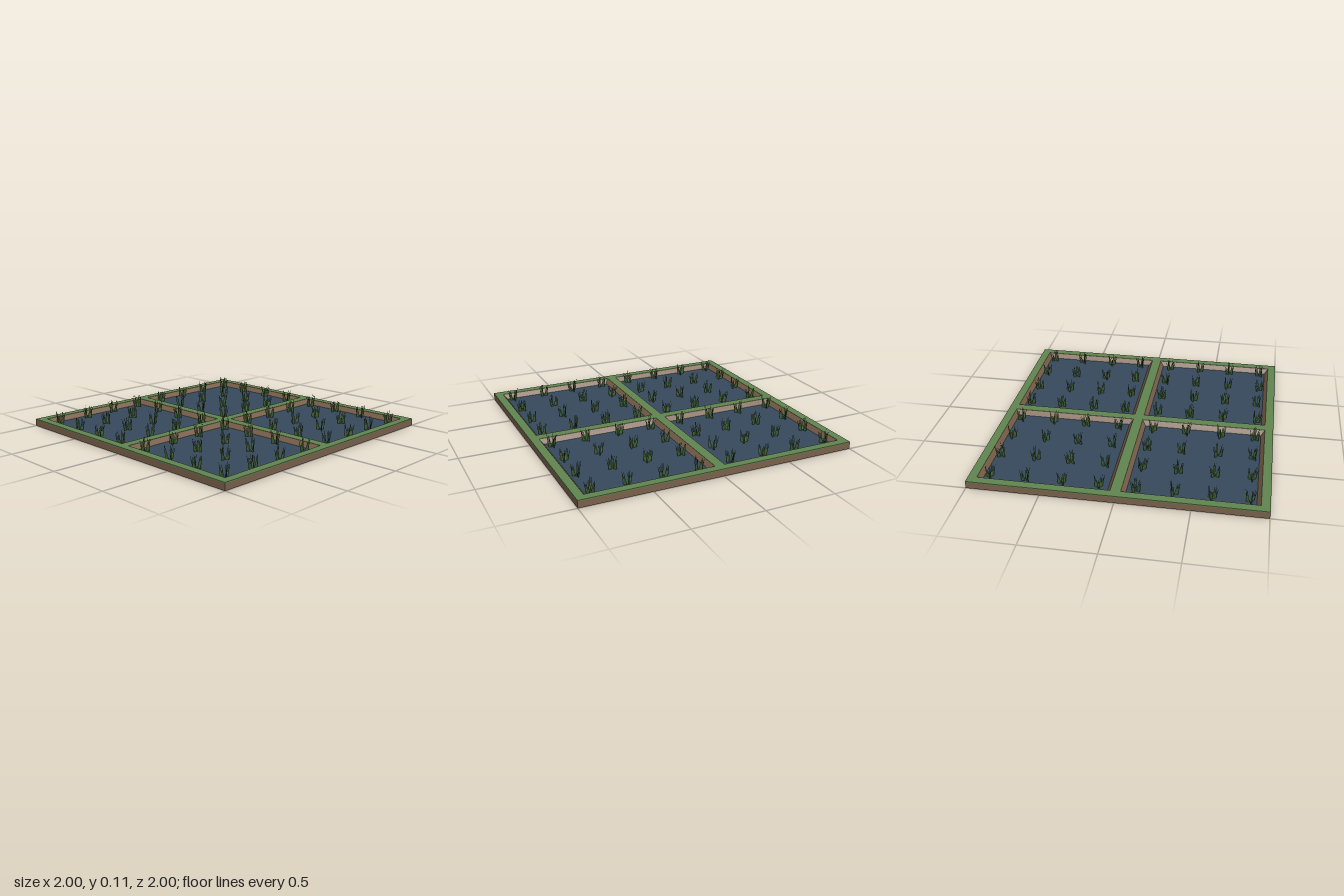
import * as THREE from 'three';
import { mergeGeometries } from 'three/addons/utils/BufferGeometryUtils.js';

const HEIGHT = 0.053, GRASS = 0.046, WATER = 0.018;
const POOL = 0.4875, RIM = 0.4525, BED = 0.426; // pool centre, half width at the rim and at the water

const mat = (name, color, extra = {}) => {
  const m = new THREE.MeshStandardMaterial({ color, ...extra });
  m.name = name;
  return m;
};

// Small seeded random generator
function seeded(seed) {
  let s = seed;
  return () => (s = (s * 16807) % 2147483647) / 2147483647;
}

// Square slab with four square openings, from y0 to y1
function lattice(y0, y1) {
  const square = (path, x, y, h) => path.moveTo(x - h, y - h).lineTo(x + h, y - h)
    .lineTo(x + h, y + h).lineTo(x - h, y + h).closePath();
  const shape = square(new THREE.Shape(), 0, 0, 1);
  for (const x of [-POOL, POOL]) for (const y of [-POOL, POOL]) {
    shape.holes.push(square(new THREE.Path(), x, y, RIM));
  }
  return new THREE.ExtrudeGeometry(shape, { depth: y1 - y0, bevelEnabled: false })
    .rotateX(-Math.PI / 2).translate(0, y0, 0);
}

// Three-sided tapering leaf from a root to a tip
function blade(root, tip, width) {
  const dir = tip.clone().sub(root);
  const len = dir.length();
  const q = new THREE.Quaternion().setFromUnitVectors(new THREE.Vector3(0, 1, 0), dir.normalize());
  const g = new THREE.CylinderGeometry(width * 0.15, width, len, 3, 2, true).translate(0, len / 2, 0);
  return g.applyQuaternion(q).translate(root.x, root.y, root.z);
}

export function createModel() {
  const group = new THREE.Group();
  group.name = 'floodedField';
  const soil = mat('soil brown', 0x7a614b, { side: THREE.DoubleSide });
  const grass = mat('grass green', 0x618550);
  const water = mat('water blue', 0x36495d);
  const leaves = [
    mat('leaf green', 0x42632f, { flatShading: true, side: THREE.DoubleSide }),
    mat('dark leaf green', 0x2f4a27, { flatShading: true, side: THREE.DoubleSide }),
  ];
  const add = (name, geometry, material) => {
    const mesh = new THREE.Mesh(geometry, material);
    mesh.name = name;
    group.add(mesh);
    return mesh;
  };

  // Earth floor, banks and their grassy tops
  const floor = WATER - 0.004;
  add('earthFloor', new THREE.BoxGeometry(2, floor, 2).translate(0, floor / 2, 0), soil);
  add('earthBanks', lattice(floor, GRASS), soil);
  add('grassTops', lattice(GRASS, HEIGHT), grass);

  // Pools with sloping sides
  for (const x of [-POOL, POOL]) for (const z of [-POOL, POOL]) {
    const h = HEIGHT - 0.001 - WATER;
    const slope = new THREE.CylinderGeometry(RIM * Math.SQRT2, BED * Math.SQRT2, h, 4, 1, true)
      .rotateY(Math.PI / 4).toNonIndexed();
    slope.computeVertexNormals();
    add('poolBank', slope, soil).position.set(x, WATER + h / 2, z);
    add('waterSurface', new THREE.PlaneGeometry(BED * 2, BED * 2).rotateX(-Math.PI / 2), water)
      .position.set(x, WATER, z);
  }

  // Seedlings: three leaning sheaves of leaves each, on an 8 by 8 grid
  const rand = seeded(4217);
  const blades = [[], []];
  for (let i = 0; i < 8; i++) for (let j = 0; j < 8; j++) {
    const cx = (i - 3.5) * 0.249, cz = (j - 3.5) * 0.249;
    const turn = rand() * Math.PI * 2;
    for (let k = 0; k < 3; k++) {
      const a = turn + k * Math.PI * 2 / 3;
      for (let n = 0; n < 4; n++) {
        const b = a + (n - 1.5) * 0.22;
        const r0 = 0.009 + 0.005 * n, r1 = 0.02 + 0.006 * n + rand() * 0.006;
        const top = 0.088 + rand() * 0.025;
        const root = new THREE.Vector3(cx + Math.cos(a) * r0, WATER - 0.003, cz + Math.sin(a) * r0);
        const tip = new THREE.Vector3(cx + Math.cos(b) * r1, top, cz + Math.sin(b) * r1);
        blades[n % 2].push(blade(root, tip, 0.0055));
      }
    }
  }
  add('seedlingLeaves', mergeGeometries(blades[0]), leaves[0]);
  add('seedlingDarkLeaves', mergeGeometries(blades[1]), leaves[1]);
  return group;
}
